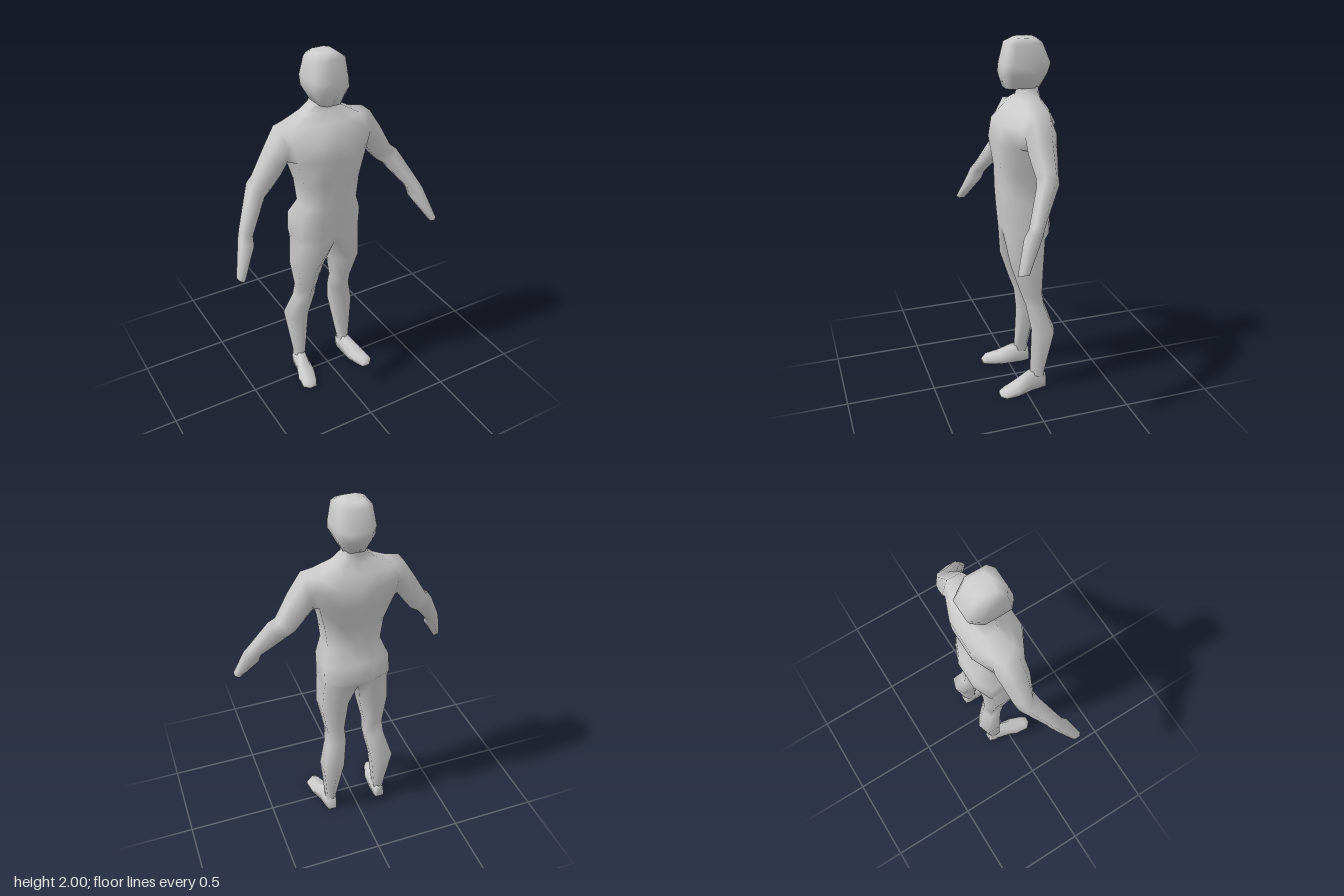
import * as THREE from 'three';
import { mergeVertices } from 'three/addons/utils/BufferGeometryUtils.js';

// Skins a series of rings into triangles; skip(i, j) leaves a quad open
function loft(rings, { closed = true, capStart = false, capEnd = false, skip = () => false } = {}) {
  const tris = [];
  const n = rings[0].length;
  const last = rings.length - 1;
  for (let i = 0; i < last; i++) {
    for (let j = 0; j < (closed ? n : n - 1); j++) {
      if (skip(i, j)) continue;
      const k = (j + 1) % n;
      const a = rings[i][j], b = rings[i][k], c = rings[i + 1][k], d = rings[i + 1][j];
      tris.push([a, d, c], [a, c, b]);
    }
  }
  for (let j = 1; j < n - 1; j++) {
    if (capStart) tris.push([rings[0][0], rings[0][j], rings[0][j + 1]]);
    if (capEnd) tris.push([rings[last][0], rings[last][j + 1], rings[last][j]]);
  }
  return tris;
}

const mirror = (tris) => tris.map(([a, b, c]) => [a, c, b].map(([x, y, z]) => [-x, y, z]));

// Welds triangles into one smooth mesh
function skin(name, tris, flat = false) {
  let geo = new THREE.BufferGeometry();
  geo.setAttribute('position', new THREE.Float32BufferAttribute(tris.flat(2), 3));
  geo = mergeVertices(geo, 1e-4);
  geo.computeVertexNormals();
  const mesh = new THREE.Mesh(geo, new THREE.MeshStandardMaterial({ color: 0xcccccc, flatShading: flat }));
  mesh.name = name;
  return mesh;
}

// Left half of a level ring, from front centre round to back centre
function halfRing([y, w, zf, zb], flat, cutF = 0.22, cutB = 0.17) {
  const d = zf - zb;
  return [
    [0, y, zf], [w * flat, y, zf], [w, y, zf - d * cutF],
    [w, y, zb + d * cutB], [w * flat, y, zb], [0, y, zb],
  ];
}

// Level ring round one leg; inner is the cut of the inside corners
function legRing([y, x0, x1, zf, zb], i) {
  const d = zf - zb, mid = x0 + (x1 - x0) * 0.45, inner = i === 0 ? 0 : 0.25;
  return [
    [x0, y, zf - d * inner], [mid, y, zf], [x1, y, zf - d * 0.22],
    [x1, y, zb + d * 0.17], [mid, y, zb], [x0, y, zb + d * inner],
  ];
}

// Six-sided arm ring from its upper and lower edge and its depth
function armRing([xt, yt, xb, yb, zf, zb]) {
  const d = (zf - zb) * 0.25, xm = (xt + xb) / 2, ym = (yt + yb) / 2;
  return [
    [xt, yt, zf - d], [xt, yt, zb + d], [xm, ym, zb],
    [xb, yb, zb + d], [xb, yb, zf - d], [xm, ym, zf],
  ];
}

function footRing([z, x0, x1, h]) {
  const w = x1 - x0;
  return [
    [x0, 0, z], [x1, 0, z], [x1, h * 0.4, z],
    [x1 - w * 0.28, h, z], [x0 + w * 0.22, h, z], [x0, h * 0.5, z],
  ];
}

export function createModel() {
  const model = new THREE.Group();
  model.name = 'figure';

  // Torso: height, half width, front z, back z
  const torso = [
    [1.78, 0.055, -0.01, -0.115],
    [1.73, 0.06, -0.012, -0.118],
    [1.69, 0.11, -0.01, -0.122],
    [1.64, 0.2, 0.038, -0.152],
    [1.57, 0.225, 0.105, -0.185],
    [1.47, 0.205, 0.125, -0.18],
    [1.31, 0.165, 0.102, -0.122],
    [1.18, 0.15, 0.1, -0.115],
    [1.09, 0.185, 0.09, -0.165],
    [0.98, 0.185, 0.08, -0.175],
    [0.94, 0.185, 0.076, -0.148],
  ].map((r) => halfRing(r, 0.45));
  const torsoTris = loft(torso, { closed: false, skip: (i, j) => j === 2 && (i === 3 || i === 4) });

  // Arm grows out of the opening left in the side of the torso
  const [s0, s1, s2] = [torso[3], torso[4], torso[5]];
  const socket = [s0[2], s0[3], s1[3], s2[3], s2[2], s1[2]];
  const arm = [
    [0.265, 1.635, 0.23, 1.455, 0.03, -0.14],
    [0.335, 1.525, 0.268, 1.4, 0.03, -0.125],
    [0.41, 1.395, 0.322, 1.328, 0.012, -0.108],
    [0.445, 1.368, 0.372, 1.292, 0.025, -0.098],
    [0.545, 1.18, 0.487, 1.138, 0.1, 0.015],
    [0.562, 1.14, 0.495, 1.09, 0.13, 0.03],
    [0.62, 0.962, 0.585, 0.945, 0.187, 0.125],
  ].map(armRing);
  const armTris = loft([socket, ...arm], { capEnd: true });

  // Leg: height, inner x, outer x, front z, back z
  const leg = [
    [0.94, 0, 0.185, 0.076, -0.148],
    [0.77, 0.033, 0.195, 0.06, -0.13],
    [0.6, 0.062, 0.165, 0.005, -0.125],
    [0.52, 0.058, 0.172, -0.025, -0.135],
    [0.37, 0.085, 0.212, -0.05, -0.186],
    [0.1, 0.123, 0.182, -0.04, -0.13],
    [0.04, 0.128, 0.182, -0.045, -0.125],
  ].map(legRing);
  const half = [...torsoTris, ...armTris, ...loft(leg)];
  model.add(skin('body', [...half, ...mirror(half)]));

  // Head, with a flat crown and jaw
  const head = [
    [2.0, 0.055, 0.005, -0.1],
    [1.975, 0.088, 0.05, -0.13],
    [1.87, 0.1, 0.075, -0.172],
    [1.82, 0.1, 0.081, -0.155],
    [1.745, 0.062, 0.062, -0.12],
  ].map((r) => halfRing(r, 0.6, 0.15, 0.22));
  const headTris = loft(head, { closed: false, capStart: true, capEnd: true });
  model.add(skin('head', [...headTris, ...mirror(headTris)]));

  // Feet from toe to heel: z, inner x, outer x, height
  const foot = [
    [0.155, 0.165, 0.21, 0.025],
    [0.125, 0.15, 0.24, 0.042],
    [0.05, 0.125, 0.232, 0.062],
    [-0.035, 0.12, 0.2, 0.105],
    [-0.1, 0.12, 0.19, 0.1],
    [-0.132, 0.13, 0.18, 0.08],
  ].map(footRing);
  const footTris = loft(foot, { capStart: true, capEnd: true });
  model.add(skin('leftFoot', footTris), skin('rightFoot', mirror(footTris)));

  return model;
}
